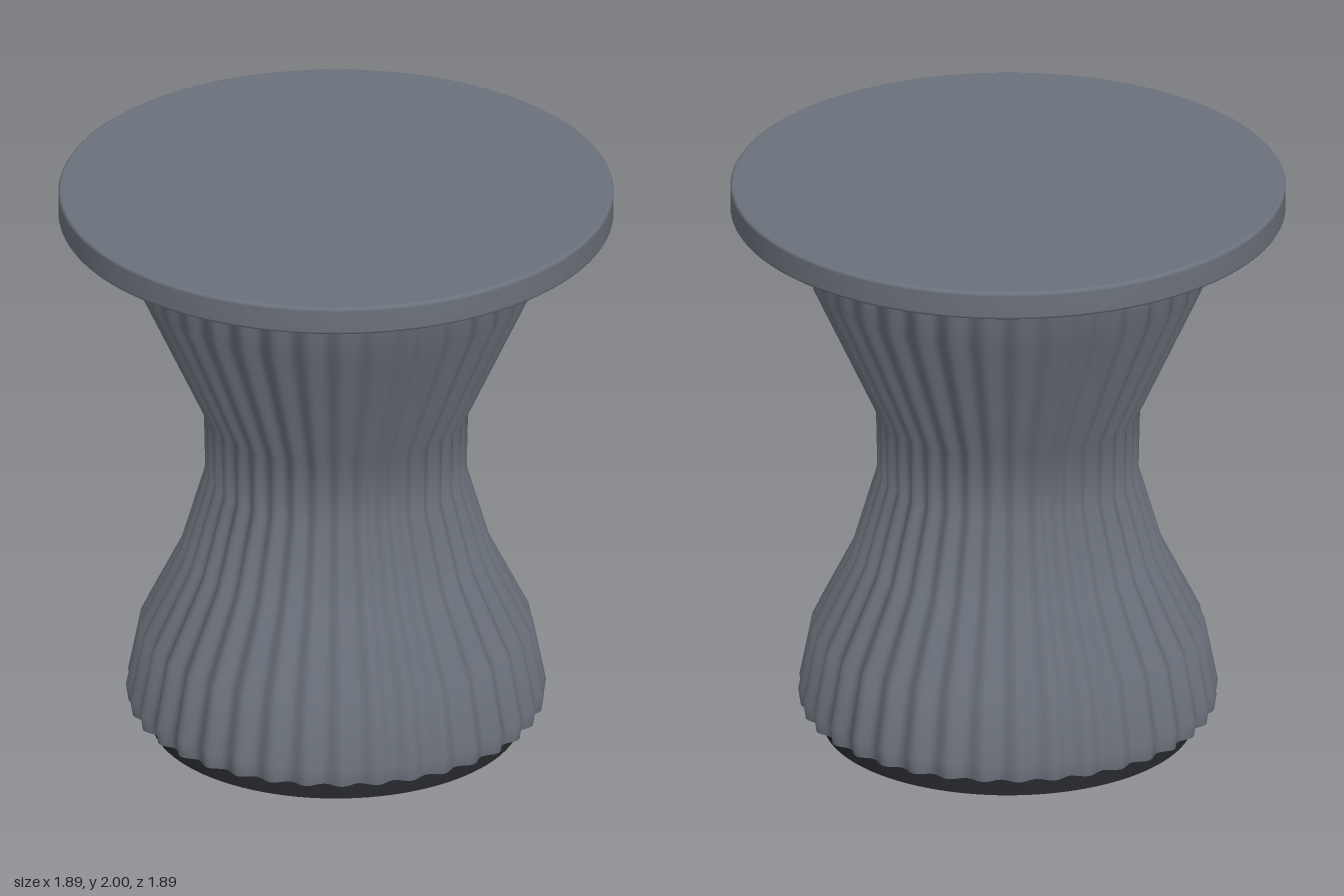
import * as THREE from 'three';

const FLUTES = 36, STEPS = 8, SIDES = FLUTES * STEPS;

// Revolves [radius, y] points, listed from the bottom up, with rounded flutes around the axis
function flutedSurface(profile) {
  const positions = [], index = [];
  for (const [radius, y] of profile) {
    const depth = Math.min(0.026, radius * 0.04);
    for (let i = 0; i < SIDES; i++) {
      const angle = (i / SIDES) * Math.PI * 2;
      const r = radius - depth * (0.5 - 0.5 * Math.cos(angle * FLUTES));
      positions.push(r * Math.sin(angle), y, r * Math.cos(angle));
    }
  }
  for (let j = 0; j < profile.length - 1; j++) {
    for (let i = 0; i < SIDES; i++) {
      const n = (i + 1) % SIDES;
      const a = j * SIDES + i, b = j * SIDES + n, c = b + SIDES, d = a + SIDES;
      index.push(a, b, c, a, c, d);
    }
  }
  const geometry = new THREE.BufferGeometry();
  geometry.setAttribute('position', new THREE.Float32BufferAttribute(positions, 3));
  geometry.setIndex(index);
  geometry.computeVertexNormals();
  return geometry;
}

export function createModel() {
  const model = new THREE.Group();
  model.name = 'flutedStool';
  const grey = new THREE.MeshStandardMaterial({ name: 'slate grey', color: 0x6b717b });
  const dark = new THREE.MeshStandardMaterial({ name: 'near black', color: 0x28292d });

  const add = (name, geometry, material, y = 0) => {
    const mesh = new THREE.Mesh(geometry, material);
    mesh.name = name;
    mesh.position.y = y;
    model.add(mesh);
  };

  // Hourglass body with a separate flat underside and slightly domed top
  add('body', flutedSurface([
    [0.706, 0.08], [0.715, 0.14], [0.67, 0.37], [0.53, 0.65],
    [0.445, 0.94], [0.45, 1.17], [0.68, 1.67], [0.70, 1.85],
  ]), grey);
  add('bodyUnderside', flutedSurface([[0.001, 0.08], [0.706, 0.08]]), grey);
  add('bodyTop', flutedSurface([[0.70, 1.85], [0.3, 1.86], [0.001, 1.862]]), grey);

  // Plinth and the disc beneath the seat
  add('base', new THREE.CylinderGeometry(0.63, 0.63, 0.08, 96), dark, 0.04);
  add('seatSupport', new THREE.CylinderGeometry(0.835, 0.835, 0.03, 96), dark, 1.885);
  add('seatPivot', new THREE.CylinderGeometry(0.1, 0.1, 0.02, 32), dark, 1.864);

  // Round seat with softly rounded edges
  const R = 0.945, e = 0.012;
  const rim = [];
  for (let k = 0; k <= 4; k++) {
    const t = (k / 4) * Math.PI / 2;
    rim.push(new THREE.Vector2(R - e + e * Math.sin(t), 1.9 + e - e * Math.cos(t)));
  }
  for (let k = 0; k <= 4; k++) {
    const t = (k / 4) * Math.PI / 2;
    rim.push(new THREE.Vector2(R - e + e * Math.cos(t), 2 - e + e * Math.sin(t)));
  }
  add('seatRim', new THREE.LatheGeometry(rim, 128), grey);
  add('seatTop', new THREE.CircleGeometry(R - e, 128).rotateX(-Math.PI / 2), grey, 2);
  add('seatUnderside', new THREE.CircleGeometry(R - e, 128).rotateX(Math.PI / 2), grey, 1.9);

  return model;
}
